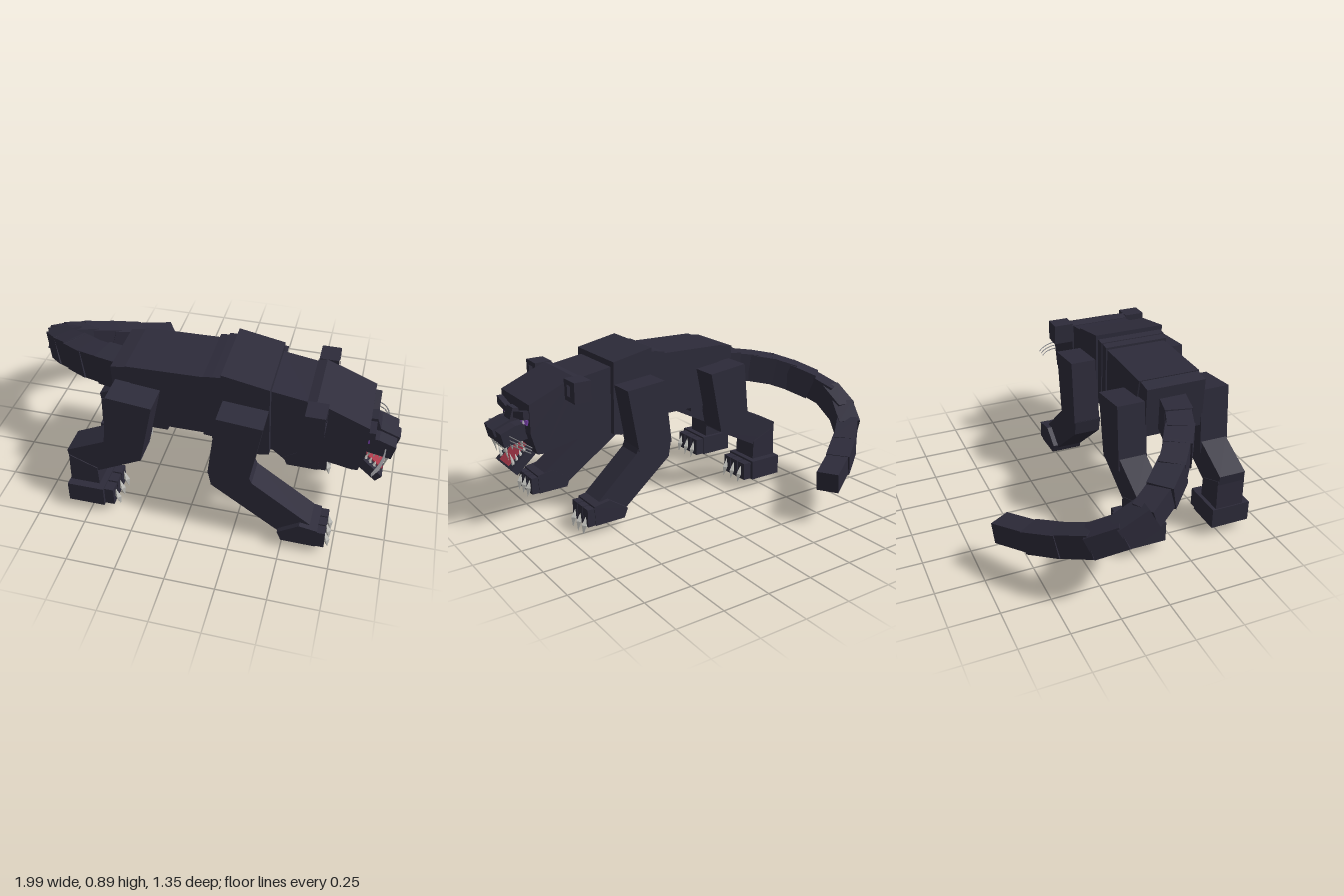
import * as THREE from 'three';

const C = 0.31; // z of the animal's midline
const mat = (name, color) => {
  const m = new THREE.MeshStandardMaterial({ color });
  m.name = name;
  return m;
};

export function createModel() {
  const root = new THREE.Group();
  root.name = 'bigCat';
  const fur = mat('darkFur', 0x2d2b3a);
  const darkFur = mat('innerEar', 0x201e2a);
  const purple = mat('purpleIris', 0x9450d0);
  const glint = mat('eyeGlint', 0xe4d8f0);
  const red = mat('redTongue', 0xa83848);
  const bone = mat('boneTeeth', 0xc9c9c4);
  const grey = mat('greyWhisker', 0x8d8d92);

  const add = (name, geo, material, parent = root) => {
    const m = new THREE.Mesh(geo, material);
    m.name = name;
    parent.add(m);
    return m;
  };
  const shapeOf = pts => new THREE.Shape(pts.map(p => new THREE.Vector2(p[0], p[1])));
  // side profile (x, y) extruded across z, between offsets a and b from the midline
  const prism = (name, pts, a, b, material = fur, parent = root) => {
    const geo = new THREE.ExtrudeGeometry(shapeOf(pts), { depth: Math.abs(b - a), bevelEnabled: false });
    geo.translate(0, 0, C + Math.min(a, b));
    return add(name, geo, material, parent);
  };
  // front outline (z offset, y) given a thickness in x, ending at x
  const plate = (name, pts, x, depth, material, parent = root) => {
    const geo = new THREE.ExtrudeGeometry(shapeOf(pts), { depth, bevelEnabled: false });
    geo.rotateY(-Math.PI / 2).translate(x, 0, C);
    return add(name, geo, material, parent);
  };
  const rect = (x0, x1, y0, y1) => [[x0, y0], [x1, y0], [x1, y1], [x0, y1]];

  // torso
  prism('rump', [[-0.395, 0.815], [-0.315, 0.828], [-0.12, 0.8], [-0.12, 0.475], [-0.2, 0.475], [-0.385, 0.55]], -0.162, 0.162);
  prism('torso', [[-0.32, 0.832], [0.07, 0.84], [0.07, 0.5], [-0.25, 0.5]], -0.17, 0.165);
  prism('rearRibBand', [[0.065, 0.852], [0.11, 0.858], [0.11, 0.495], [0.065, 0.5]], -0.178, 0.178);
  prism('frontRibBand', [[0.11, 0.862], [0.155, 0.866], [0.155, 0.49], [0.11, 0.49]], -0.184, 0.184);
  prism('chest', [[0.155, 0.89], [0.385, 0.845], [0.395, 0.455], [0.35, 0.445], [0.15, 0.485]], -0.196, 0.196);
  prism('neck', [[0.38, 0.815], [0.57, 0.785], [0.57, 0.47], [0.44, 0.46], [0.38, 0.455]], -0.165, 0.16);

  // head
  prism('head', [[0.555, 0.475], [0.555, 0.79], [0.6, 0.8], [0.85, 0.695], [0.85, 0.54], [0.82, 0.43], [0.79, 0.428]], -0.172, 0.172);
  prism('muzzle', [[0.84, 0.585], [0.9, 0.58], [0.982, 0.55], [0.965, 0.475], [0.84, 0.5]], -0.108, 0.108);
  prism('noseBridge', [[0.84, 0.645], [0.88, 0.65], [0.9, 0.592], [0.996, 0.555], [0.985, 0.515], [0.84, 0.52]], -0.037, 0.037);
  prism('jaw', [[0.77, 0.435], [0.908, 0.313], [0.938, 0.347], [0.83, 0.446]], -0.102, 0.102);
  prism('tongue', [[0.825, 0.447], [0.93, 0.352], [0.935, 0.358], [0.83, 0.455]], -0.055, 0.055, red);

  // teeth hang under the muzzle and stand on the jaw
  const tooth = (x, y, off, h, dir) => {
    const m = add('tooth', new THREE.ConeGeometry(0.012, h, 4), bone);
    m.position.set(x, y + dir * h / 2, C + off);
    m.rotation.set(dir < 0 ? Math.PI : 0, 0, dir < 0 ? 0.2 : -0.25);
  };
  for (const s of [-1, 1]) {
    tooth(0.945, 0.485, s * 0.076, 0.095, -1);
    tooth(0.92, 0.355, s * 0.076, 0.08, 1);
    for (let i = 0; i < 3; i++) {
      tooth(0.915 - i * 0.027, 0.49, s * 0.078, 0.05, -1);
      tooth(0.895 - i * 0.022, 0.377 + i * 0.02, s * 0.076, 0.045, 1);
    }
  }
  for (let i = -2; i <= 2; i++) tooth(0.955, 0.482, i * 0.024, 0.035, -1);

  for (const s of [-1, 1]) {
    const side = new THREE.Group();
    side.name = s > 0 ? 'rightFace' : 'leftFace';
    root.add(side);
    const flip = pts => pts.map(([z, y]) => [s * z, y]);

    // ears: a frame around a sunken dark panel
    const ear = flip(rect(0.168, 0.28, 0.69, 0.8));
    const frame = shapeOf(ear);
    frame.holes.push(new THREE.Path(flip(rect(0.2, 0.25, 0.715, 0.775)).map(p => new THREE.Vector2(...p))));
    const fg = new THREE.ExtrudeGeometry(frame, { depth: 0.03, bevelEnabled: false });
    fg.rotateY(-Math.PI / 2).translate(0.655, 0, C);
    add('earRim', fg, fur, side);
    plate('earBack', ear, 0.625, 0.065, fur, side);
    plate('innerEar', flip(rect(0.2, 0.25, 0.715, 0.775)), 0.63, 0.005, darkFur, side);

    // slanted eyes and heavy brows
    plate('eye', flip([[0.072, 0.582], [0.145, 0.582], [0.158, 0.613], [0.072, 0.596]]), 0.858, 0.008, purple, side);
    plate('eyeGlint', flip(rect(0.102, 0.12, 0.584, 0.6)), 0.862, 0.005, glint, side);
    plate('brow', flip([[0.035, 0.6], [0.165, 0.62], [0.165, 0.665], [0.035, 0.632]]), 0.88, 0.04, fur, side);

    // whiskers
    for (let i = 0; i < 3; i++) {
      const curve = new THREE.QuadraticBezierCurve3(
        new THREE.Vector3(0.935, 0.53 - i * 0.022, C + s * 0.1),
        new THREE.Vector3(0.935, 0.54 - i * 0.022, C + s * 0.2),
        new THREE.Vector3(0.885, 0.508 - i * 0.017, C + s * (0.265 - i * 0.01)));
      add('whisker', new THREE.TubeGeometry(curve, 8, 0.0035, 4), grey, side);
    }
  }

  // a claw is a slim diamond hooked down from the toe
  const claw = (x, y, off, parent) => {
    const m = add('claw', new THREE.OctahedronGeometry(1), bone, parent);
    m.scale.set(0.018, 0.053, 0.015);
    m.rotation.z = 0.2;
    m.position.set(x, y, C + off);
  };

  // legs
  for (const s of [-1, 1]) {
    const front = new THREE.Group();
    front.name = s > 0 ? 'rightFrontLeg' : 'leftFrontLeg';
    const hind = new THREE.Group();
    hind.name = s > 0 ? 'rightHindLeg' : 'leftHindLeg';
    root.add(front, hind);
    const d = s > 0 ? 0 : -0.065; // one front paw trails the other

    prism('upperFrontLeg', [[0.165, 0.745], [0.385, 0.725], [0.325, 0.385], [0.125, 0.4]], s * 0.188, s * 0.335, fur, front);
    prism('lowerFrontLeg', [[0.125, 0.405], [0.14, 0.32], [0.5 + d, 0.07], [0.635 + d, 0.165], [0.34, 0.375], [0.325, 0.41]], s * 0.182, s * 0.328, fur, front);
    prism('frontPaw', [[0.48 + d, 0.1], [0.5 + d, 0.05], [0.67 + d, 0.048], [0.675 + d, 0.155], [0.585 + d, 0.17]], s * 0.18, s * 0.355, fur, front);
    for (const off of [0.21, 0.268, 0.326]) {
      prism('frontToe', rect(0.66 + d, 0.713 + d, 0.05, 0.145), s * (off - 0.026), s * (off + 0.026), fur, front);
      claw(0.72 + d, s > 0 ? 0.085 : 0.055, s * off, front);
    }

    prism('thigh', [[-0.375, 0.745], [-0.15, 0.72], [-0.22, 0.38], [-0.41, 0.395]], s * 0.155, s * 0.312, fur, hind);
    prism('hock', [[-0.4, 0.46], [-0.607, 0.36], [-0.595, 0.26], [-0.47, 0.245], [-0.22, 0.375], [-0.24, 0.42]], s * 0.16, s * 0.306, fur, hind);
    prism('ankle', [[-0.6, 0.33], [-0.605, 0.13], [-0.45, 0.13], [-0.455, 0.27]], s * 0.155, s * 0.31, fur, hind);
    prism('hindPaw', rect(-0.61, -0.42, 0.055, 0.165), s * 0.135, s * 0.35, fur, hind);
    for (const off of [0.172, 0.238, 0.304]) {
      prism('hindToe', rect(-0.43, -0.372, 0.057, 0.155), s * (off - 0.029), s * (off + 0.029), fur, hind);
      claw(-0.358, 0.09, s * off, hind);
    }
  }

  // tail: boxes strung along a curling path, [x, y, z, width, height]
  const path = [
    [-0.36, 0.67, 0.3, 0.14, 0.17], [-0.5, 0.665, 0.265, 0.13, 0.16], [-0.6, 0.65, 0.225, 0.14, 0.155],
    [-0.7, 0.63, 0.16, 0.125, 0.155], [-0.79, 0.595, 0.09, 0.13, 0.15], [-0.87, 0.55, 0.0, 0.115, 0.13],
    [-0.925, 0.5, -0.1, 0.115, 0.13], [-0.92, 0.435, -0.22, 0.12, 0.125], [-0.86, 0.375, -0.335, 0.115, 0.125],
    [-0.74, 0.325, -0.44, 0.125, 0.12], [-0.61, 0.28, -0.53, 0.115, 0.11], [-0.435, 0.245, -0.635, 0, 0]];
  const tail = new THREE.Group();
  tail.name = 'tail';
  root.add(tail);
  for (let i = 0; i < path.length - 1; i++) {
    const a = new THREE.Vector3(...path[i]), b = new THREE.Vector3(...path[i + 1]);
    const extra = i < path.length - 2 ? 0.03 : 0;
    const m = add('tailSegment', new THREE.BoxGeometry(path[i][3], path[i][4], a.distanceTo(b) + extra), fur, tail);
    m.position.copy(a).add(b).multiplyScalar(0.5);
    m.lookAt(b);
  }
  return root;
}
